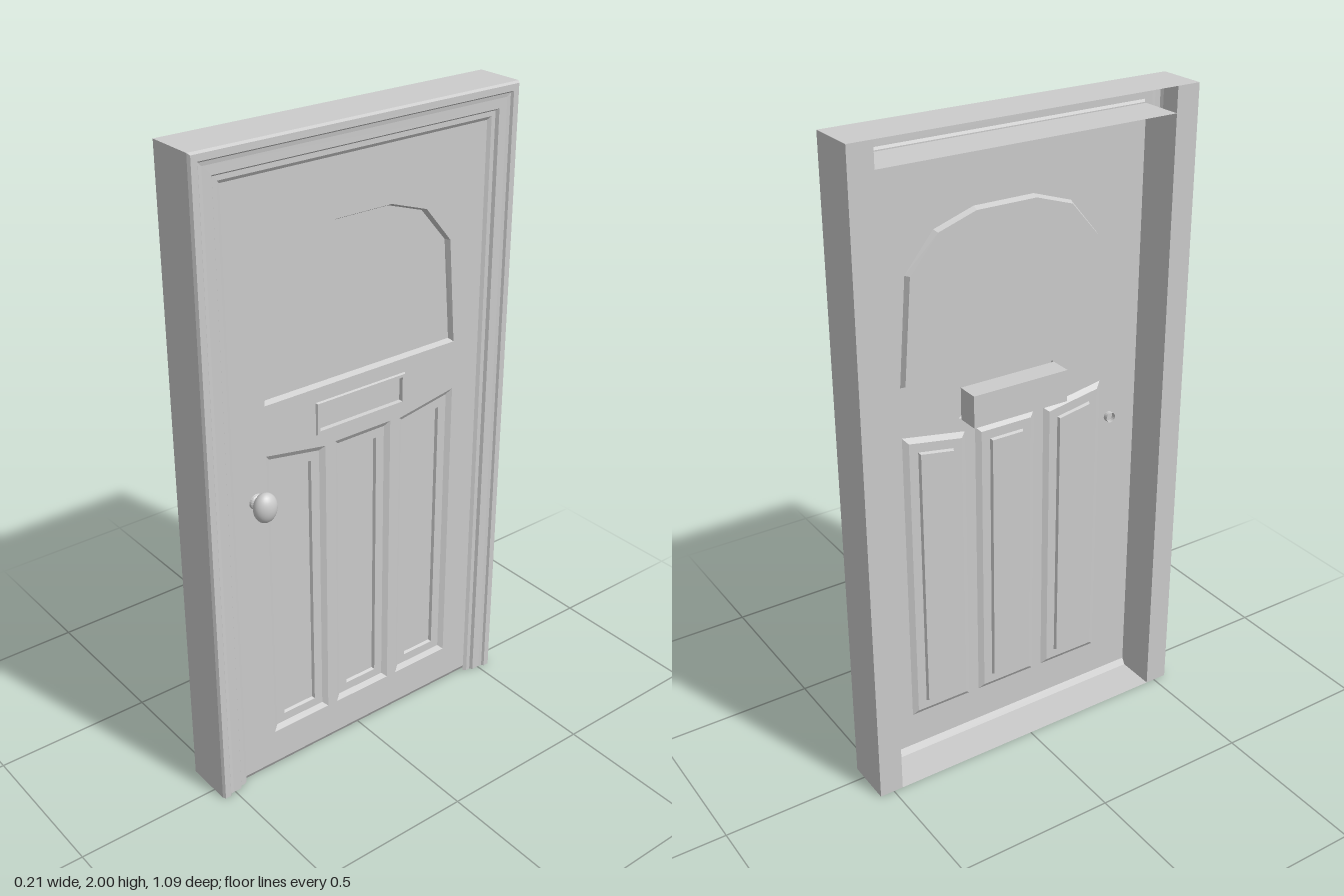
import * as THREE from 'three';

const mat = new THREE.MeshStandardMaterial({ color: 0xcccccc, flatShading: true, side: THREE.DoubleSide });
const smooth = new THREE.MeshStandardMaterial({ color: 0xcccccc });

const FACE = 0.03; // depth of the door's front face
const BACK = -0.105;
const MID = 0.008; // centre line of the panelling

// Skin between successive cross-sections, each a list of [x, y, z]
function skin(sections, closed) {
  const pos = [];
  for (let s = 0; s < sections.length - 1; s++) {
    const a = sections[s], b = sections[s + 1];
    const n = a.length - (closed ? 0 : 1);
    for (let i = 0; i < n; i++) {
      const j = (i + 1) % a.length;
      pos.push(...a[i], ...a[j], ...b[j], ...a[i], ...b[j], ...b[i]);
    }
  }
  const g = new THREE.BufferGeometry();
  g.setAttribute('position', new THREE.Float32BufferAttribute(pos, 3));
  g.computeVertexNormals();
  return g;
}

const shapeOf = (pts) => new THREE.Shape(pts.map(([x, y]) => new THREE.Vector2(x, y)));
const rect = (x0, x1, y0, y1) => [[x0, y0], [x1, y0], [x1, y1], [x0, y1]];

export function createModel() {
  const model = new THREE.Group();
  model.name = 'frontDoor';
  // Built facing +z, then turned to face +x
  const door = new THREE.Group();
  door.name = 'doorAssembly';
  door.rotation.y = Math.PI / 2;
  model.add(door);

  const add = (name, geometry, material = mat) => {
    const m = new THREE.Mesh(geometry, material);
    m.name = name;
    door.add(m);
    return m;
  };

  // Moulded frame: profile of [inset, depth] swept up, over and down with mitred corners
  const profile = [
    [0, BACK], [0, 0.046], [0.005, 0.055], [0.024, 0.055], [0.029, 0.048], [0.04, 0.046], [0.068, 0.046],
    [0.074, 0.037], [0.088, 0.037], [0.098, FACE], [0.075, FACE], [0.075, BACK],
  ];
  const station = (sx, top) => profile.map(([d, z]) => [sx * (0.545 - d), top ? 2 - d : 0, z]);
  add('frame', skin([station(-1, false), station(-1, true), station(1, true), station(1, false)], false));

  // Back edges of the jambs
  for (const s of [-1, 1]) {
    const edge = add('jambBack', new THREE.PlaneGeometry(0.075, 2));
    edge.rotation.y = Math.PI;
    edge.position.set(s * 0.5075, 1, BACK);
  }

  // Sill plate
  const sillFront = FACE - 0.012;
  const sill = add('sill', new THREE.PlaneGeometry(1.09, sillFront - BACK));
  sill.rotation.x = -Math.PI / 2;
  sill.position.set(0, 0, (sillFront + BACK) / 2);

  // Recesses: rings of { pts, z }, stepping back from the face and closed by the last one
  const recesses = [];
  const recess = (name, ...rings) => recesses.push({ name, rings });

  // Arched upper panel
  const arch = (o) => {
    const half = [[0.342 - o, 1.255 + o], [0.316 - o, 1.578], [0.224 - o * 0.7, 1.689 - o * 0.7], [0.097, 1.731 - o]];
    return [...half.map(([x, y]) => [MID + x, y]), ...half.reverse().map(([x, y]) => [MID - x, y])];
  };
  recess('archPanel', { pts: arch(0), z: FACE }, { pts: arch(0.008), z: FACE - 0.016 });

  // Lower panels: outer pair rise towards the door's edges
  const panel = (s, o, z) => {
    const x0 = s ? 0.137 + o : -0.102 + o, x1 = s ? 0.343 - o : 0.102 - o;
    const top = (x) => (s ? 1.065 + (x - 0.137) * 0.17 : 1.068) - o;
    const k = s || 1;
    return {
      pts: [[x0, 0.135 + o], [x1, 0.135 + o], [x1, top(x1)], [x0, top(x0)]].map(([x, y]) => [MID + k * x, y]),
      z,
    };
  };
  for (const s of [-1, 0, 1]) {
    recess('lowerPanel', panel(s, 0, FACE), panel(s, 0.016, FACE - 0.01),
      panel(s, 0.045, FACE - 0.01), panel(s, 0.049, FACE - 0.019));
  }

  // Letter slot with a raised rim
  const slot = (o) => rect(-0.162 + o, 0.162 - o, 1.109 + o, 1.211 - o);
  recess('letterSlot', { pts: slot(0), z: FACE }, { pts: slot(0.003), z: FACE + 0.006 },
    { pts: slot(0.012), z: FACE + 0.006 }, { pts: slot(0.015), z: FACE - 0.005 });

  // Door leaf with an opening for every recess
  const leaf = shapeOf(rect(-0.47, 0.47, 0.02, 1.925));
  for (const { name, rings } of recesses) {
    leaf.holes.push(new THREE.Path(rings[0].pts.map(([x, y]) => new THREE.Vector2(x, y))));
    add(name + 'Moulding', skin(rings.map((r) => r.pts.map(([x, y]) => [x, y, r.z])), true));
    const last = rings[rings.length - 1];
    add(name + 'Infill', new THREE.ShapeGeometry(shapeOf(last.pts))).position.z = last.z;
  }
  add('doorLeaf', new THREE.ShapeGeometry(leaf)).position.z = FACE;

  // Chamfer along the bottom of the leaf
  add('doorBottom', skin([
    [[-0.47, 0.02, FACE], [0.47, 0.02, FACE]],
    [[-0.47, 0, sillFront], [0.47, 0, sillFront]],
  ], false));

  // Letter box behind the leaf
  add('letterBox', new THREE.BoxGeometry(0.32, 0.1, 0.07)).position.set(0, 1.16, -0.012);

  // Door knob: neck with a spreading foot, and a flattened ball
  const neckProfile = [[0.016, 0.015], [0.016, FACE], [0.024, FACE], [0.022, 0.036], [0.015, 0.042], [0.016, 0.055]]
    .map(([r, z]) => new THREE.Vector2(r, z));
  const neck = add('knobNeck', new THREE.LatheGeometry(neckProfile, 20));
  neck.rotation.x = Math.PI / 2;
  neck.position.set(-0.372, 0.971, 0);
  const knob = add('knob', new THREE.SphereGeometry(1, 24, 16), smooth);
  knob.scale.set(0.037, 0.046, 0.029);
  knob.position.set(-0.372, 0.971, 0.073);

  return model;
}
